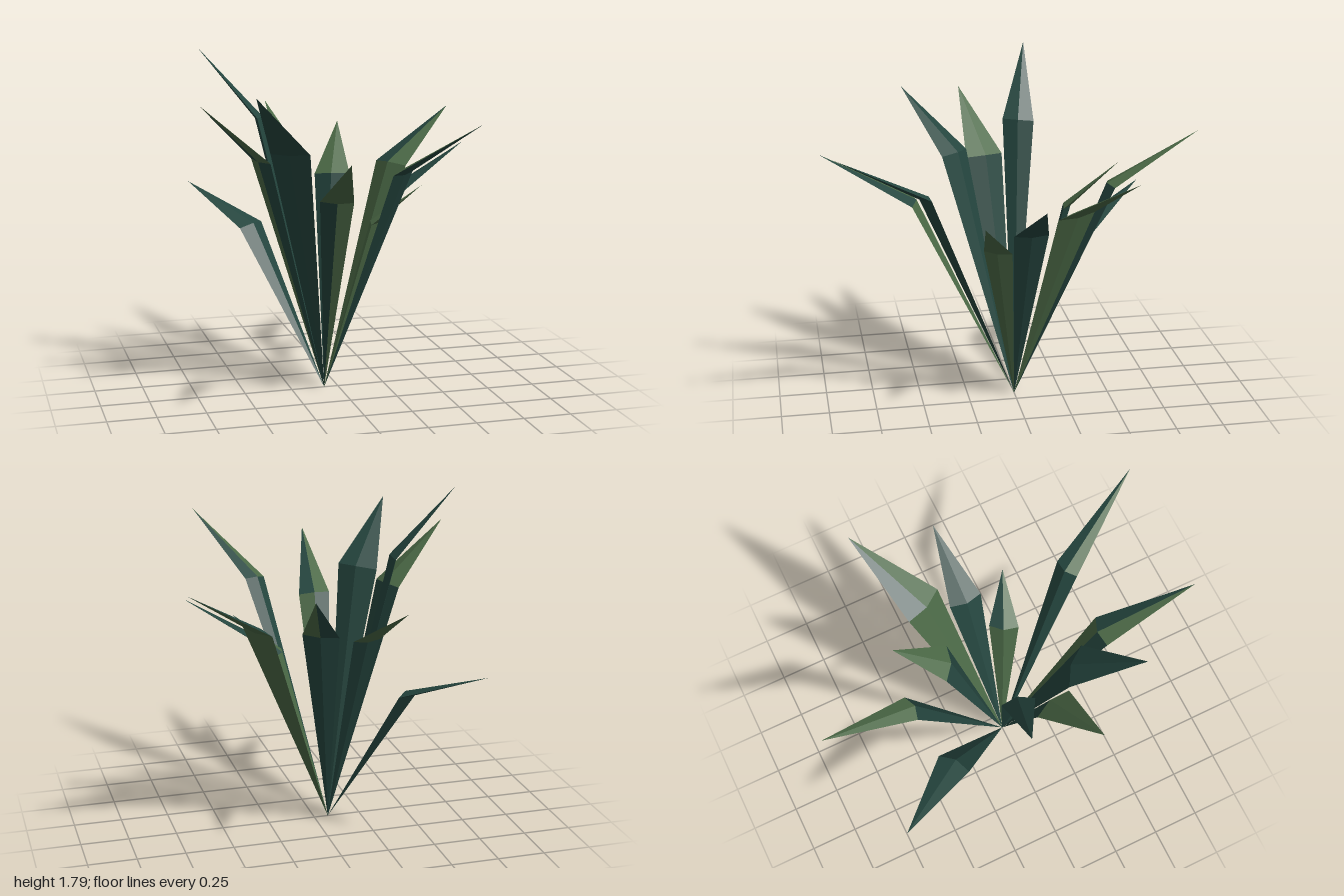
import * as THREE from 'three';

const BASE = new THREE.Vector3(-0.075, 0, 0);

// Each leaf: tip, the two corners of its bend, and a colour (t teal, g green) per facet:
// blade inner a/b, blade outer a/b, stalk inner a/b, stalk outer a/b
const LEAVES = [
  { tip: [-0.155, 1.40, -1.00], a: [-0.18, 1.14, -0.52], b: [-0.045, 1.14, -0.53], paint: 'gggg tttt' },
  { tip: [-0.64, 0.99, -0.80], a: [-0.44, 0.80, -0.37], b: [-0.30, 0.81, -0.475], paint: 'tttt tttt' },
  { tip: [-0.69, 1.79, -0.16], a: [-0.38, 1.43, -0.16], b: [-0.42, 1.44, 0.00], paint: 'tttt tttt' },
  { tip: [-0.54, 1.61, 0.525], a: [-0.40, 1.29, 0.20], b: [-0.235, 1.30, 0.35], paint: 'tttt tttt' },
  { tip: [-0.755, 1.545, 0.19], a: [-0.455, 1.24, 0.00], b: [-0.40, 1.24, 0.20], paint: 'ggtg ttgt' },
  { tip: [-0.21, 1.355, 0.99], a: [-0.23, 1.10, 0.51], b: [-0.065, 1.09, 0.53], paint: 'gtgg tgtg' },
  { tip: [0.43, 1.51, 0.95], a: [0.135, 1.21, 0.52], b: [0.25, 1.22, 0.465], paint: 'gttt tttt' },
  { tip: [0.38, 1.10, 0.22], a: [0.125, 0.90, 0.19], b: [0.20, 0.90, 0.055], paint: 'gtgg gggg' },
  { tip: [0.685, 1.275, -0.025], a: [0.33, 1.04, -0.105], b: [0.33, 1.04, 0.07], paint: 'tttt tttt' },
  { tip: [0.75, 1.41, -0.455], a: [0.31, 1.14, -0.34], b: [0.41, 1.14, -0.135], paint: 'tggg gggg' },
  { tip: [0.135, 1.34, -0.50], a: [-0.045, 1.09, -0.30], b: [0.125, 1.10, -0.22], paint: 'ggtg tttt' },
];

// Closed four-sided spike from the diamond at the bend to one end point
function spike(end, { a, b, inner, outer }, paint, materials) {
  const centre = a.clone().add(b).multiplyScalar(0.5).lerp(end, 0.25);
  const sides = [[a, inner], [b, inner], [a, outer], [b, outer]];
  const points = [];
  const geometry = new THREE.BufferGeometry();
  sides.forEach(([p, q], i) => {
    // turn every facet outwards
    const normal = q.clone().sub(p).cross(end.clone().sub(p));
    const facing = normal.dot(p.clone().sub(centre)) > 0;
    points.push(...(facing ? [p, q, end] : [q, p, end]));
    geometry.addGroup(i * 3, 3, paint[i] === 'g' ? 1 : 0);
  });
  geometry.setFromPoints(points);
  geometry.computeVertexNormals();
  return new THREE.Mesh(geometry, materials);
}

function makeLeaf({ tip, a, b, paint }, materials) {
  const leaf = new THREE.Group();
  const left = new THREE.Vector3(...a);
  const right = new THREE.Vector3(...b);
  const middle = left.clone().add(right).multiplyScalar(0.5);

  // ridges on the inner and outer faces of the bend
  const up = right.clone().sub(left).cross(middle.clone().sub(BASE)).normalize();
  if (up.y < 0) up.negate();
  const bend = {
    a: left,
    b: right,
    inner: middle.clone().addScaledVector(up, 0.025),
    outer: middle.clone().addScaledVector(up, -0.015),
  };

  const [bladePaint, stalkPaint] = paint.split(' ');
  const blade = spike(new THREE.Vector3(...tip), bend, bladePaint, materials);
  blade.name = 'leafBlade';
  const stalk = spike(BASE, bend, stalkPaint, materials);
  stalk.name = 'leafStalk';
  leaf.add(blade, stalk);
  return leaf;
}

export function createModel() {
  const teal = new THREE.MeshStandardMaterial({ color: 0x25463f, side: THREE.DoubleSide, flatShading: true });
  teal.name = 'darkTeal';
  const green = new THREE.MeshStandardMaterial({ color: 0x4b6946, side: THREE.DoubleSide, flatShading: true });
  green.name = 'leafGreen';

  const plant = new THREE.Group();
  plant.name = 'spikyPlant';
  LEAVES.forEach((data, i) => {
    const leaf = makeLeaf(data, [teal, green]);
    leaf.name = `leaf${i + 1}`;
    plant.add(leaf);
  });
  return plant;
}
